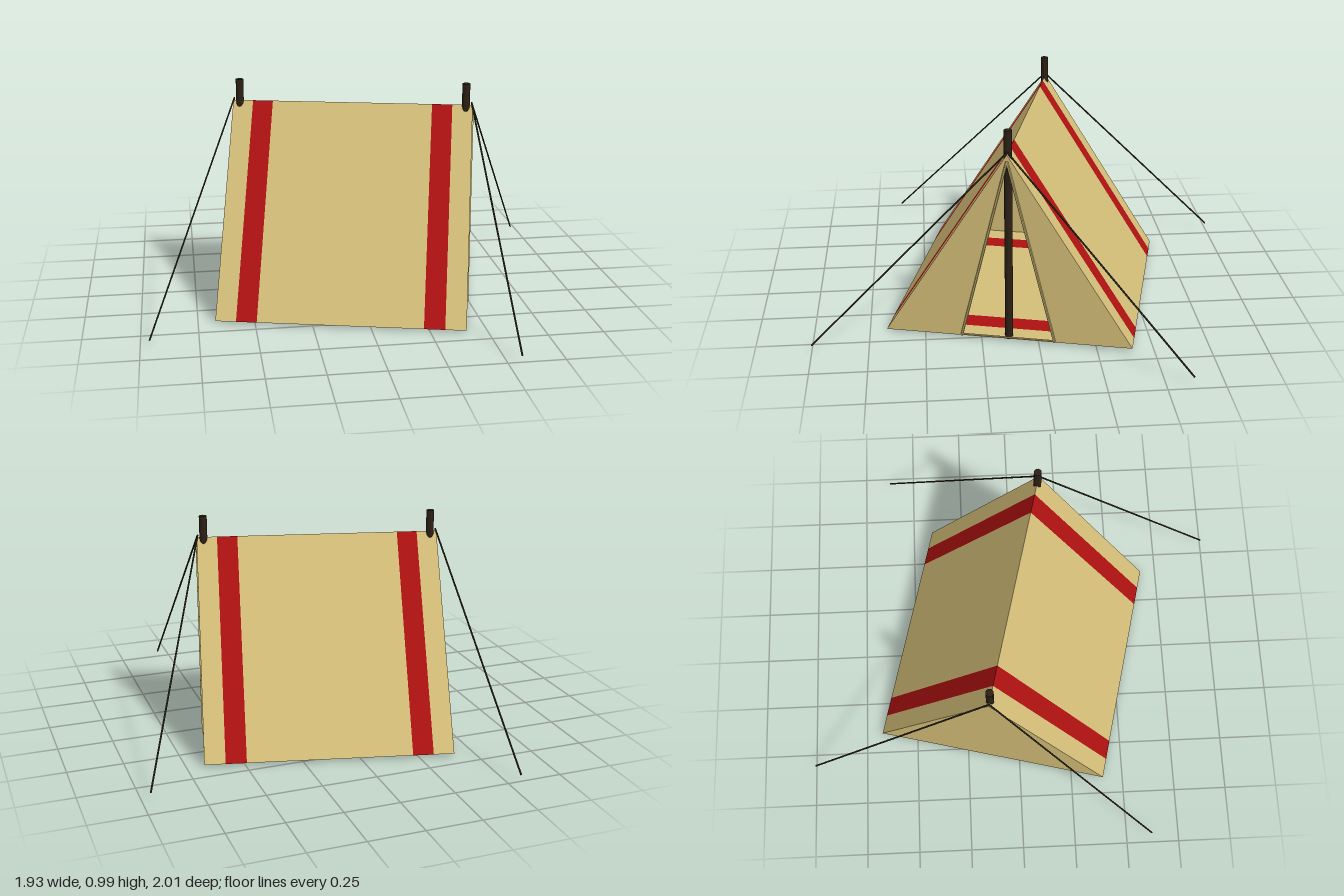
import * as THREE from 'three';

const HALF = 0.556;            // half length and half width of the tent
const FLOOR = 0.01, RIDGE = 0.89;

const material = (color) => new THREE.MeshStandardMaterial({ color, side: THREE.DoubleSide, flatShading: true });

// Round bar between two points
function bar(name, a, b, radius, mat, sides = 8) {
  const dir = b.clone().sub(a);
  const mesh = new THREE.Mesh(new THREE.CylinderGeometry(radius, radius, dir.length(), sides), mat);
  mesh.position.copy(a).add(b).multiplyScalar(0.5);
  mesh.quaternion.setFromUnitVectors(new THREE.Vector3(0, 1, 0), dir.normalize());
  mesh.name = name;
  return mesh;
}

// Band of fabric running over both slopes and under the floor
function band(name, x0, x1, mat) {
  const section = [[FLOOR, HALF], [RIDGE, 0], [FLOOR, -HALF]];
  const pos = [];
  section.forEach(([y0, z0], i) => {
    const [y1, z1] = section[(i + 1) % 3];
    pos.push(x0, y0, z0, x1, y0, z0, x1, y1, z1, x0, y0, z0, x1, y1, z1, x0, y1, z1);
  });
  const geo = new THREE.BufferGeometry();
  geo.setAttribute('position', new THREE.Float32BufferAttribute(pos, 3));
  geo.computeVertexNormals();
  const mesh = new THREE.Mesh(geo, mat);
  mesh.name = name;
  return mesh;
}

// Triangular end wall, optionally cut by a doorway
function endWall(name, x, mat, door) {
  const pts = door
    ? [[-HALF, FLOOR], [-door.w, FLOOR], [0, door.top], [door.w, FLOOR], [HALF, FLOOR], [0, RIDGE]]
    : [[-HALF, FLOOR], [HALF, FLOOR], [0, RIDGE]];
  const shape = new THREE.Shape(pts.map(([a, b]) => new THREE.Vector2(a, b)));
  const mesh = new THREE.Mesh(new THREE.ShapeGeometry(shape), mat);
  mesh.rotation.y = Math.sign(x) * Math.PI / 2;
  mesh.position.x = x;
  mesh.name = name;
  return mesh;
}

export function createModel() {
  const canvas = material(0xd4be78), red = material(0xae1111);
  const wood = material(0x2c2014), cord = material(0x352f20);
  const V = (x, y, z) => new THREE.Vector3(x, y, z);
  const model = new THREE.Group();
  model.name = 'tent';

  // Tent body, turned on its plot
  const tent = new THREE.Group();
  tent.name = 'tentBody';
  tent.rotation.y = -Math.atan(0.25);
  model.add(tent);

  // Canvas with two red stripes
  const cuts = [-HALF, -0.463, -0.37, 0.37, 0.463, HALF];
  for (let i = 0; i < 5; i++) {
    tent.add(band(i % 2 ? 'stripe' : 'canvas', cuts[i], cuts[i + 1], i % 2 ? red : canvas));
  }

  // End walls and doorway hem
  const door = { w: 0.21, top: 0.86 };
  tent.add(endWall('doorWall', HALF, canvas, door), endWall('backWall', -HALF, canvas));
  for (const s of [-1, 1]) {
    tent.add(bar('doorHem', V(HALF, FLOOR, s * door.w), V(HALF, door.top, 0), 0.006, canvas, 6));
  }
  tent.add(bar('doorSill', V(HALF, FLOOR + 0.006, -door.w), V(HALF, FLOOR + 0.006, door.w), 0.005, canvas, 6));

  // Poles
  for (const s of [-1, 1]) {
    tent.add(bar('pole', V(s * 0.525, 0, 0), V(s * 0.525, 0.99, 0), 0.018, wood, 12));
  }

  // Guy ropes, two from each end of the ridge
  for (const s of [-1, 1]) {
    const top = V(s * 0.535, RIDGE + 0.01, s * 0.132);
    for (const [x, z] of [[0.96, -0.62], [0.56, 1]]) {
      model.add(bar('guyRope', top, V(s * x, 0.03, s * z), 0.004, cord, 6));
    }
  }
  return model;
}
